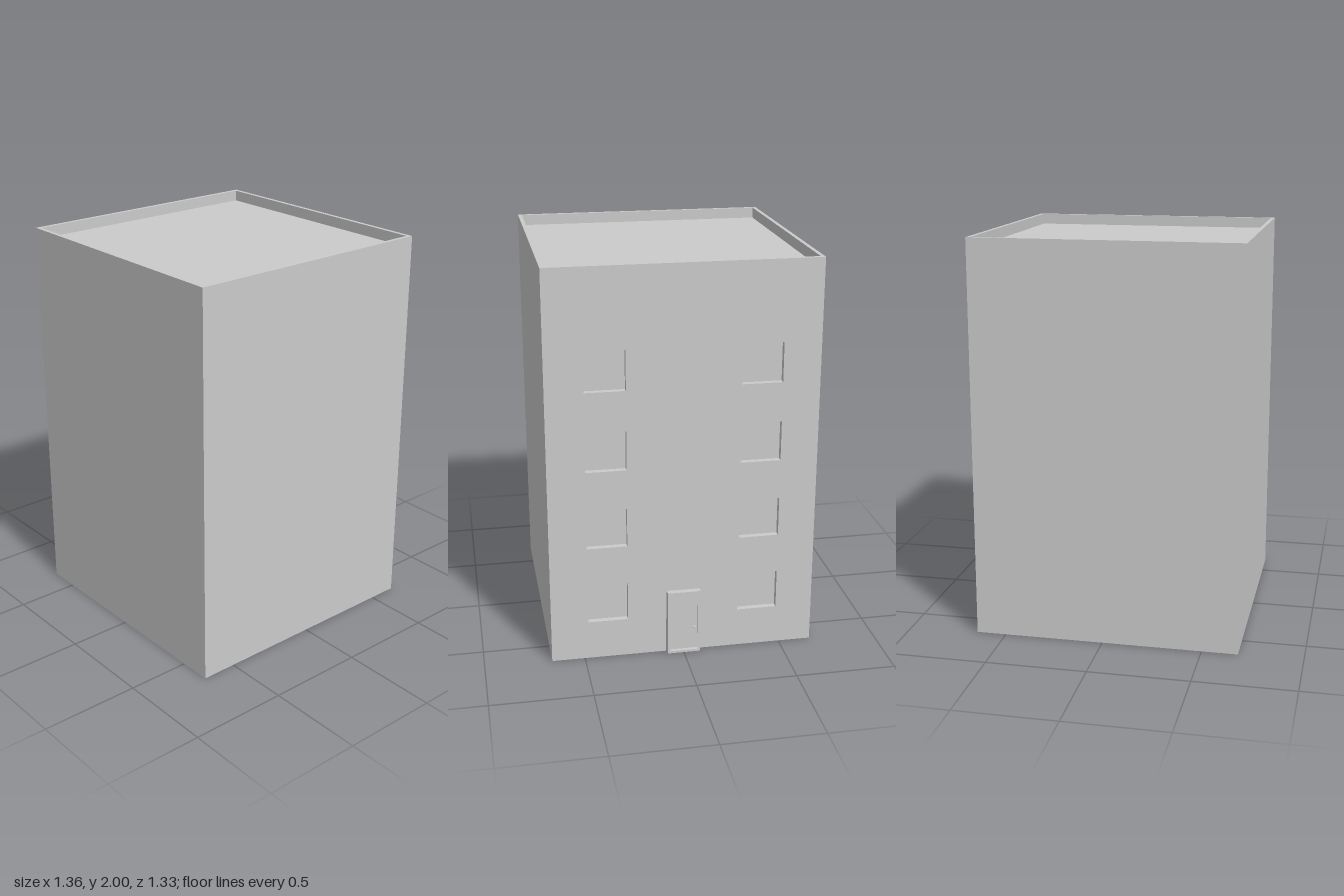
import * as THREE from 'three';

const X0 = -0.68, X1 = 0.65, HALF = 0.665; // footprint
const HEIGHT = 2, ROOF = 1.945, RIM = 0.02, RECESS = 0.03;

const material = new THREE.MeshStandardMaterial({ color: 0xcccccc, flatShading: true });

function rectangle(Type, u0, u1, v0, v1) {
  const r = new Type();
  r.moveTo(u0, v0).lineTo(u1, v0).lineTo(u1, v1).lineTo(u0, v1).closePath();
  return r;
}

function add(parent, name, geometry, x = 0, y = 0, z = 0) {
  const mesh = new THREE.Mesh(geometry, material);
  mesh.name = name;
  mesh.position.set(x, y, z);
  parent.add(mesh);
  return mesh;
}

// Box given by its limits on each axis
function addBox(parent, name, x0, x1, y0, y1, z0, z1) {
  return add(parent, name, new THREE.BoxGeometry(x1 - x0, y1 - y0, z1 - z0),
    (x0 + x1) / 2, (y0 + y1) / 2, (z0 + z1) / 2);
}

// Upright slab facing +x, starting at x = 0
function sideSlab(shape, depth) {
  return new THREE.ExtrudeGeometry(shape, { depth, bevelEnabled: false }).rotateY(Math.PI / 2);
}

export function createModel() {
  const building = new THREE.Group();
  building.name = 'building';

  // Solid core; its side is the back of the window recesses
  addBox(building, 'core', X0, X1 - RECESS, 0, ROOF, -HALF, HALF);

  // Entrance wall with two columns of four square windows
  const wall = rectangle(THREE.Shape, -HALF, HALF, 0, ROOF);
  for (let floor = 0; floor < 4; floor++) {
    for (const side of [-1, 1]) {
      const c = side * 0.38, y = 0.2 + floor * 0.4;
      wall.holes.push(rectangle(THREE.Path, c - 0.1, c + 0.1, y, y + 0.2));
    }
  }
  add(building, 'entranceWall', sideSlab(wall, RECESS), X1 - RECESS);

  // Parapet around the flat roof
  const ring = rectangle(THREE.Shape, X0, X1, -HALF, HALF);
  ring.holes.push(rectangle(THREE.Path, X0 + RIM, X1 - RIM, -HALF + RIM, HALF - RIM));
  const parapet = new THREE.ExtrudeGeometry(ring, { depth: HEIGHT - ROOF, bevelEnabled: false });
  add(building, 'parapet', parapet.rotateX(-Math.PI / 2), 0, ROOF);

  // Door frame, narrowing slightly towards the outside
  const door = new THREE.Group();
  door.name = 'door';
  building.add(door);
  const outline = rectangle(THREE.Shape, -0.086, 0.086, 0, 0.338);
  outline.holes.push(rectangle(THREE.Path, -0.074, 0.074, 0.012, 0.327));
  const frame = sideSlab(outline, 0.03);
  const p = frame.attributes.position;
  for (let i = 0; i < p.count; i++) {
    if (p.getX(i) > 0.02) p.setZ(i, p.getZ(i) * 0.95);
  }
  frame.computeVertexNormals();
  add(door, 'doorFrame', frame, X1);

  // Door leaf and round knob
  addBox(door, 'doorLeaf', X1 - 0.01, X1 + 0.012, 0.005, 0.332, -0.076, 0.076);
  const stem = new THREE.CylinderGeometry(0.004, 0.004, 0.012, 12).rotateZ(Math.PI / 2);
  add(door, 'knobStem', stem, X1 + 0.016, 0.135, -0.053);
  add(door, 'knob', new THREE.SphereGeometry(0.007, 12, 8), X1 + 0.022, 0.135, -0.053);

  return building;
}
